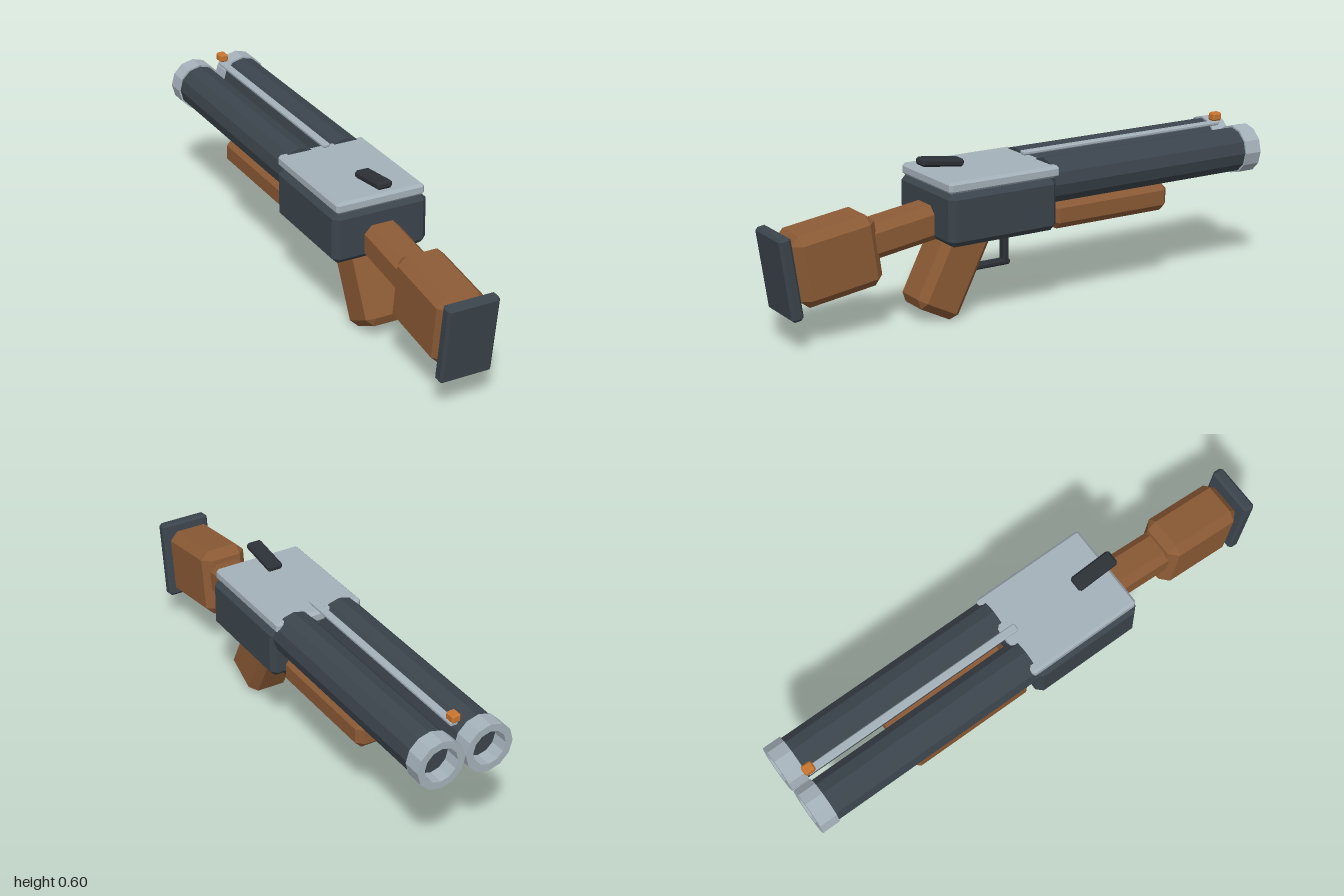
import * as THREE from 'three';
import { ConvexGeometry } from 'three/addons/geometries/ConvexGeometry.js';

const mat = (color) => new THREE.MeshStandardMaterial({ color, flatShading: true });

// Box with all edges and corners chamfered by c
function chamferBox(w, h, d, c) {
  const pts = [];
  const [x, y, z] = [w / 2, h / 2, d / 2];
  for (const i of [-1, 1]) for (const j of [-1, 1]) for (const k of [-1, 1]) {
    pts.push(
      new THREE.Vector3(i * x, j * (y - c), k * (z - c)),
      new THREE.Vector3(i * (x - c), j * y, k * (z - c)),
      new THREE.Vector3(i * (x - c), j * (y - c), k * z));
  }
  return new ConvexGeometry(pts);
}

export function createModel() {
  const model = new THREE.Group();
  model.name = 'doubleBarrelGun';
  const steel = mat(0x3b444c), black = mat(0x2c3137), silver = mat(0xa5b1ba);
  const wood = mat(0x8b5a35), brass = mat(0xc8752f);

  const add = (name, geometry, material, x, y, z, tilt = 0) => {
    const mesh = new THREE.Mesh(geometry, material);
    mesh.name = name;
    mesh.position.set(x, y, z);
    mesh.rotation.x = tilt;
    model.add(mesh);
    return mesh;
  };
  // size is [width, height, depth], tilt turns the part about x
  const box = (name, material, size, c, y, z, tilt) =>
    add(name, chamferBox(...size, c), material, 0, y, z, tilt);

  // Receiver and its cover plate
  box('receiver', steel, [0.376, 0.197, 0.45], 0.022, 0.4185, 0.157);
  box('receiverCover', silver, [0.352, 0.044, 0.46], 0.01, 0.535, 0.147);

  // Stock
  box('stockWrist', wood, [0.14, 0.13, 0.36], 0.028, 0.37, 0.47, 0.14);
  box('stock', wood, [0.184, 0.266, 0.325], 0.032, 0.31, 0.765, 0.14);
  box('buttPad', steel, [0.2, 0.307, 0.046], 0.01, 0.282, 0.957, 0.14);

  // Grip, trigger and guard
  box('grip', wood, [0.168, 0.36, 0.187], 0.028, 0.203, 0.294, -0.47);
  box('trigger', silver, [0.025, 0.085, 0.024], 0.004, 0.236, 0.153, -0.35);
  box('guardBottom', black, [0.036, 0.022, 0.2], 0.006, 0.175, 0.13);
  box('guardFront', black, [0.036, 0.148, 0.024], 0.006, 0.239, 0.047);

  // Fore-end
  box('foreEnd', wood, [0.304, 0.108, 0.52], 0.026, 0.361, -0.333);
  box('foreEndPlate', silver, [0.08, 0.02, 0.145], 0.004, 0.306, -0.372);

  // Paired barrels with hollow muzzle rings
  const barrel = new THREE.CylinderGeometry(0.086, 0.086, 0.88, 12).rotateX(-Math.PI / 2);
  const ringProfile = [[0.093, 0], [0.093, 0.07], [0.065, 0.07], [0.065, 0], [0.093, 0]]
    .map(([r, y]) => new THREE.Vector2(r, y));
  const ring = new THREE.LatheGeometry(ringProfile, 12).rotateX(-Math.PI / 2);
  for (const [side, x] of [['left', 0.095], ['right', -0.095]]) {
    add(side + 'Barrel', barrel, steel, x, 0.487, -0.5);
    add(side + 'MuzzleRing', ring, silver, x, 0.487, -0.93);
  }

  // Top rib, front bead and opening lever
  box('topRib', silver, [0.03, 0.015, 0.9], 0.004, 0.574, -0.48);
  box('frontBead', brass, [0.036, 0.032, 0.042], 0.006, 0.6, -0.921);
  box('topLever', black, [0.06, 0.029, 0.172], 0.008, 0.59, 0.316, -0.13);

  return model;
}
